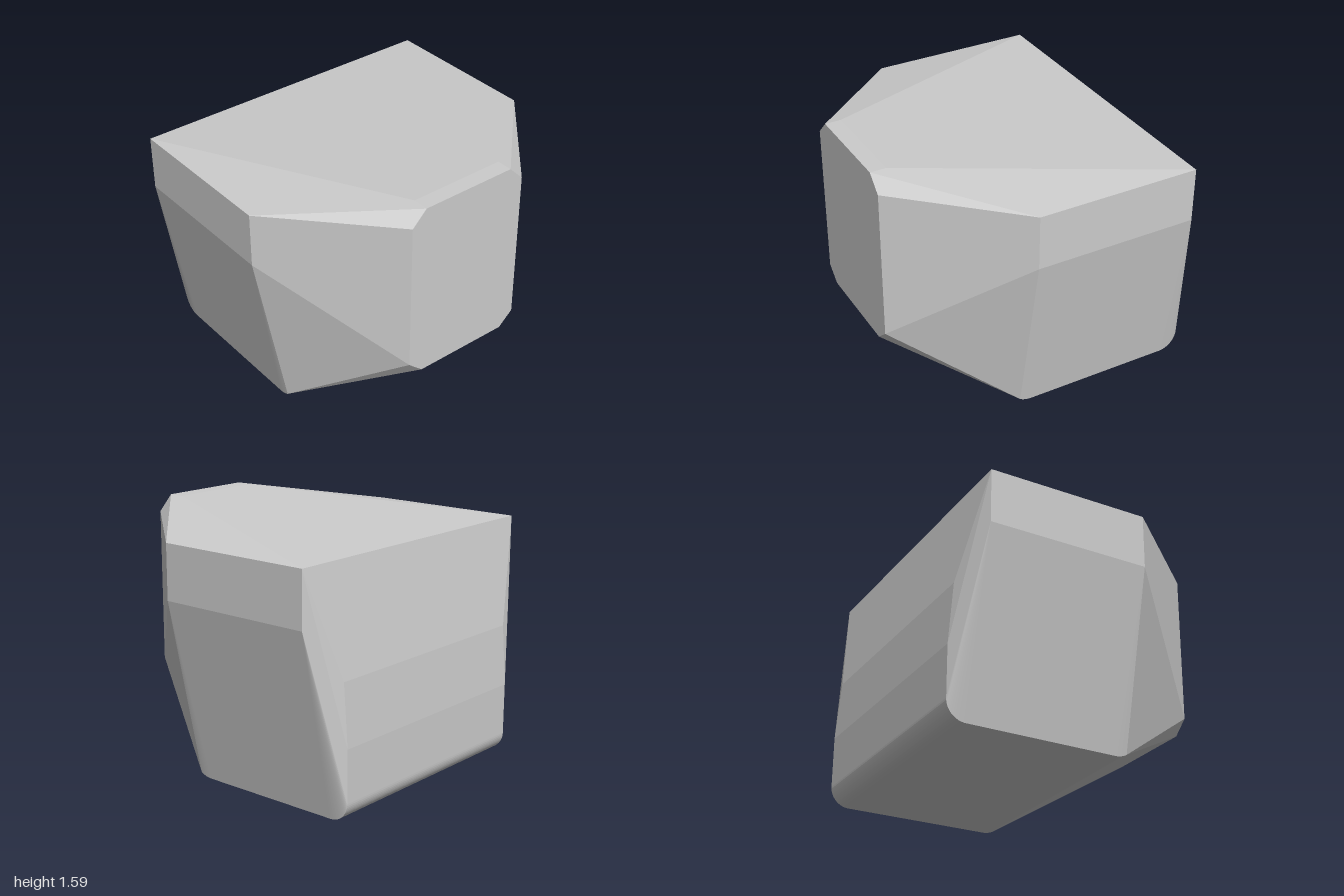
import * as THREE from 'three';
import { ConvexGeometry } from 'three/addons/geometries/ConvexGeometry.js';

// Points of a rounded lower edge: circle centre (y = r, z), swept from straight down
function roundedEdge(x, z, r, sweep, steps) {
  const pts = [];
  for (let i = 0; i <= steps; i++) {
    const a = (sweep * i) / steps;
    pts.push([x, r * (1 - Math.cos(a)), z + r * Math.sin(a)]);
  }
  return pts;
}

export function createModel() {
  const group = new THREE.Group();
  group.name = 'facetedBlock';

  // Corners of the left half; the right half is mirrored
  const half = [
    // top rim
    [1, 1.47, -0.785], [1, 1.47, 0.24],
    [0.31, 1.585, 0.92], [0.31, 1.585, 0.82],
    // chamfered front panel
    [0.405, 1.49, 0.92], [0.405, 0.53, 0.92], [0.31, 0.445, 0.92],
    // lower end of the upright sides
    [1, 1.13, 0.24], [1, 1.13, -0.785],
    // bowed back
    [0.78, 0.82, -0.893], [0.78, 0.44, -0.922],
    // rounded bottom edges, front and back
    ...roundedEdge(0.78, 0.14, 0.15, 0.54, 6),
    ...roundedEdge(0.78, -0.802, 0.12, -Math.PI / 2, 16),
  ];

  const points = [];
  for (const [x, y, z] of half) {
    points.push(new THREE.Vector3(x, y, z), new THREE.Vector3(-x, y, z));
  }

  const body = new THREE.Mesh(
    new ConvexGeometry(points),
    new THREE.MeshStandardMaterial({ color: 0xcccccc, flatShading: true })
  );
  body.name = 'body';
  group.add(body);
  return group;
}
